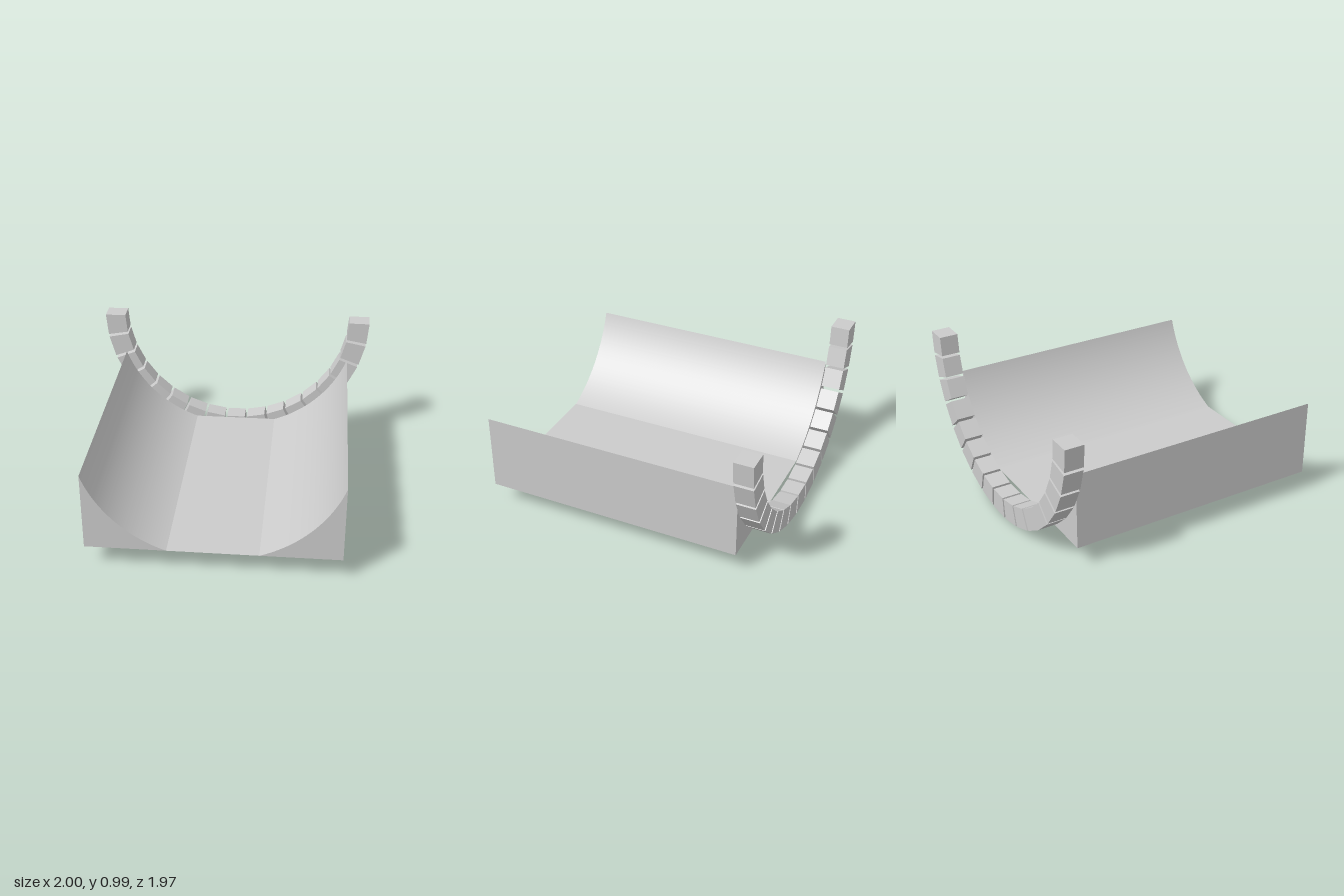
import * as THREE from 'three';
import { toCreasedNormals } from 'three/addons/utils/BufferGeometryUtils.js';

const material = new THREE.MeshStandardMaterial({ color: 0xcccccc });
const sheetMaterial = new THREE.MeshStandardMaterial({ color: 0xcccccc, side: THREE.DoubleSide });

const CENTRE_Y = 0.997; // shared axis of the ring and the cradle

// Extrude a profile in x/y between two z positions
function slab(name, shape, back, front) {
  const geometry = new THREE.ExtrudeGeometry(shape, {
    depth: front - back, bevelEnabled: false, curveSegments: 40,
  });
  geometry.translate(0, 0, back);
  const mesh = new THREE.Mesh(toCreasedNormals(geometry, 0.25), material);
  mesh.name = name;
  return mesh;
}

// Half ring of separate wedge blocks
function createBlockRing() {
  const ring = new THREE.Group();
  ring.name = 'blockRing';
  const count = 17, pitch = Math.PI / count, half = pitch * 0.44;
  const inner = 0.85, outer = 1;
  for (let i = 0; i < count; i++) {
    const mid = Math.PI + (i + 0.5) * pitch;
    const corner = (r, a) => new THREE.Vector2(r * Math.cos(a), CENTRE_Y + r * Math.sin(a));
    const shape = new THREE.Shape([
      corner(inner, mid - half), corner(outer, mid - half),
      corner(outer, mid + half), corner(inner, mid + half),
    ]);
    ring.add(slab('ringBlock', shape, -0.985, -0.852));
  }
  return ring;
}

// Trough: two concave wedges joined by a thin flat floor
function createCradle() {
  const cradle = new THREE.Group();
  cradle.name = 'cradle';
  const radius = 0.9, side = 0.847, base = 0.15, back = -0.833, front = 0.985;
  const toe = Math.sqrt(radius ** 2 - (CENTRE_Y - base) ** 2);
  const toeAngle = Math.acos(toe / radius);
  const topAngle = Math.acos(side / radius);

  for (const s of [1, -1]) {
    const shape = new THREE.Shape();
    shape.moveTo(s * toe, base);
    shape.lineTo(s * side, base);
    shape.lineTo(s * side, CENTRE_Y - radius * Math.sin(topAngle));
    if (s > 0) shape.absarc(0, CENTRE_Y, radius, -topAngle, -toeAngle, true);
    else shape.absarc(0, CENTRE_Y, radius, Math.PI + topAngle, Math.PI + toeAngle, false);
    cradle.add(slab(s > 0 ? 'leftWedge' : 'rightWedge', shape, back, front));
  }

  const floor = new THREE.Mesh(new THREE.PlaneGeometry(2 * toe, front - back), sheetMaterial);
  floor.name = 'floor';
  floor.rotation.x = -Math.PI / 2;
  floor.position.set(0, base, (front + back) / 2);
  cradle.add(floor);
  return cradle;
}

export function createModel() {
  const model = new THREE.Group();
  model.name = 'cradleWithRing';
  model.add(createCradle(), createBlockRing());
  return model;
}
